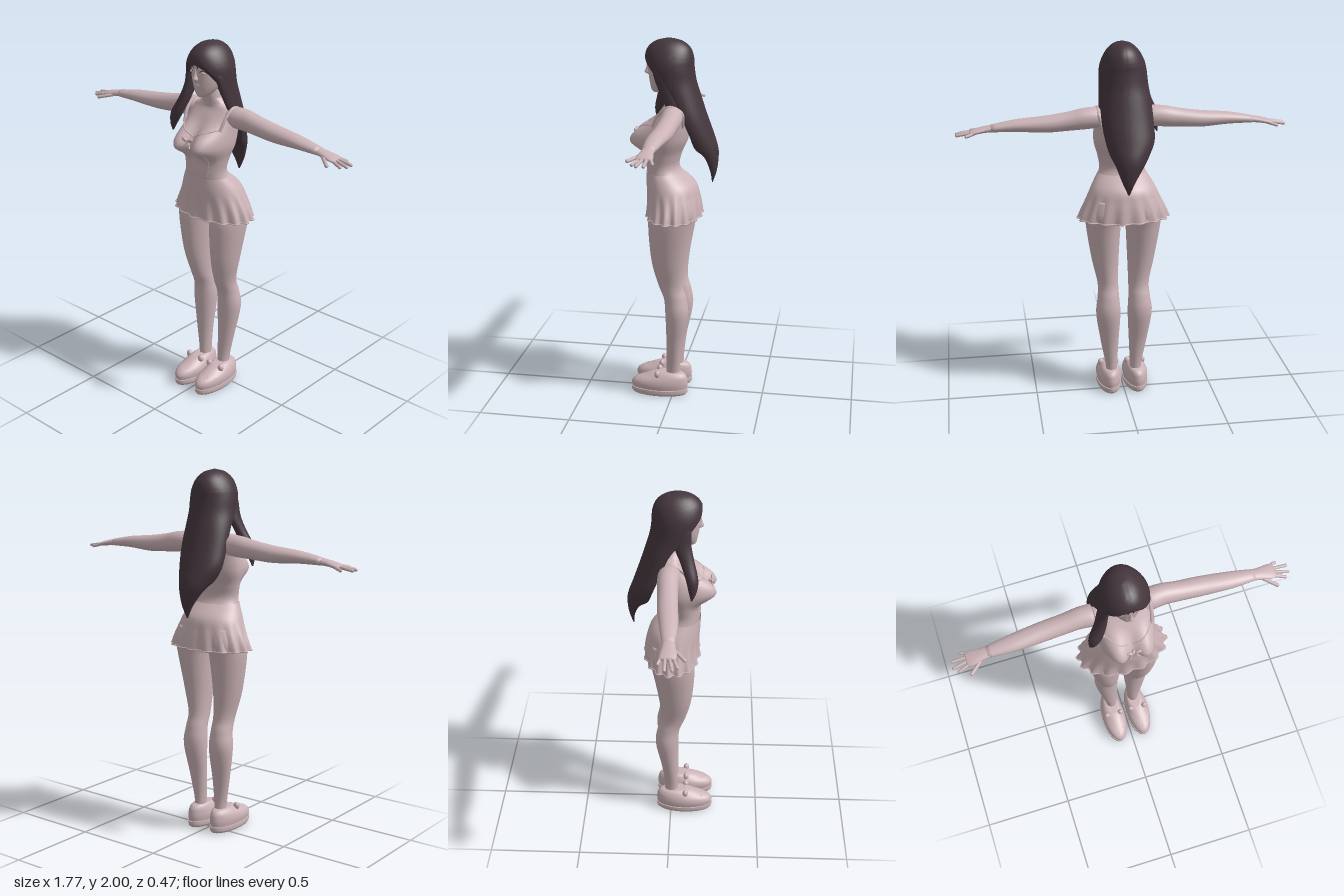
import * as THREE from 'three';
import { toCreasedNormals } from 'three/addons/utils/BufferGeometryUtils.js';

const bodyMat = new THREE.MeshStandardMaterial({ color: 0xcbb3b6, side: THREE.DoubleSide });
bodyMat.name = 'pale rose';
const hairMat = new THREE.MeshStandardMaterial({ color: 0x44363d, side: THREE.DoubleSide });
hairMat.name = 'dark plum';

// Smooth sample (Catmull-Rom) of a table of cross-sections, t in 0..1
function sample(rows, t) {
  const f = t * (rows.length - 1), i = Math.min(Math.floor(f), rows.length - 2), u = f - i;
  const at = k => rows[Math.max(0, Math.min(rows.length - 1, k))];
  return rows[0].map((_, c) => {
    const [a, b, d, e] = [at(i - 1)[c], at(i)[c], at(i + 1)[c], at(i + 2)[c]];
    return b + 0.5 * u * (d - a + u * (2 * a - 5 * b + 4 * d - e + u * (3 * (b - d) + e - a)));
  });
}

// Skin a closed ring along the sections; point(row, v) gives [x, y, z] for v in 0..1
function loft(rows, point, { steps = 4, sides = 32, caps = true, span = 0 } = {}) {
  const n = (rows.length - 1) * steps, pos = [], idx = [];
  for (let i = 0; i <= n; i++) {
    const r = sample(rows, i / n);
    for (let j = 0; j < sides; j++) pos.push(...point(r, j / (sides - span)));
  }
  const id = (i, j) => i * sides + (j % sides);
  for (let i = 0; i < n; i++) for (let j = 0; j < sides; j++) {
    idx.push(id(i, j), id(i + 1, j), id(i, j + 1), id(i, j + 1), id(i + 1, j), id(i + 1, j + 1));
  }
  if (caps) for (const row of [0, n]) {
    const c = [0, 0, 0], k = pos.length / 3;
    for (let j = 0; j < sides; j++) for (let d = 0; d < 3; d++) c[d] += pos[id(row, j) * 3 + d] / sides;
    pos.push(...c);
    for (let j = 0; j < sides; j++) {
      if (row) idx.push(k, id(row, j + 1), id(row, j)); else idx.push(k, id(row, j), id(row, j + 1));
    }
  }
  const g = new THREE.BufferGeometry();
  g.setAttribute('position', new THREE.Float32BufferAttribute(pos, 3));
  g.setIndex(idx);
  g.computeVertexNormals();
  return g;
}

// Ring rules: upright sections [y, cx, cz, rx, rz] and arm sections [x, cy, cz, ry, rz]
const TAU = Math.PI * 2;
const upright = ([y, cx, cz, rx, rz], v) => [cx + rx * Math.cos(v * TAU), y, cz + rz * Math.sin(v * TAU)];
const sideways = ([x, cy, cz, ry, rz], v) => [x, cy + ry * Math.sin(v * TAU), cz + rz * Math.cos(v * TAU)];

function mirrored(g) {
  const m = g.clone().scale(-1, 1, 1), ix = m.index.array;
  for (let i = 0; i < ix.length; i += 3) [ix[i], ix[i + 1]] = [ix[i + 1], ix[i]];
  m.computeVertexNormals();
  return m;
}
const ball = (x, y, z, rx, ry, rz) => new THREE.SphereGeometry(1, 20, 14).scale(rx, ry, rz).translate(x, y, z);
const tube = (pts, r, closed = false) => new THREE.TubeGeometry(
  new THREE.CatmullRomCurve3(pts.map(p => new THREE.Vector3(...p)), closed), pts.length * 6, r, 6, closed);
function capsule(a, b, r) {
  const A = new THREE.Vector3(...a), B = new THREE.Vector3(...b), d = B.clone().sub(A);
  const q = new THREE.Quaternion().setFromUnitVectors(new THREE.Vector3(0, 1, 0), d.clone().normalize());
  return new THREE.CapsuleGeometry(r, d.length(), 4, 10).applyQuaternion(q).translate(...A.add(B).multiplyScalar(0.5).toArray());
}

// Torso sections and the bust swelling on the front
const torso = [
  [1.02, 0, 0.015, 0.06, 0.06], [1.05, 0, 0.01, 0.14, 0.10], [1.12, 0, 0, 0.185, 0.12],
  [1.20, 0, 0.015, 0.17, 0.12], [1.30, 0, 0.065, 0.125, 0.09], [1.38, 0, 0.062, 0.133, 0.094],
  [1.46, 0, 0.042, 0.155, 0.108], [1.54, 0, 0.02, 0.158, 0.10], [1.60, 0, 0.005, 0.155, 0.085],
  [1.645, 0, 0, 0.13, 0.06], [1.67, 0, 0.005, 0.08, 0.05], [1.70, 0, 0.015, 0.05, 0.045]];
const bust = (x, y) => [-1, 1].reduce((sum, s) => {
  const d = ((x - s * 0.077) / 0.066) ** 2 + ((y - 1.472) / (y > 1.472 ? 0.088 : 0.06)) ** 2;
  return sum + 0.1 * Math.exp(-(d ** 1.25));
}, 0);
function torsoPoint(row, v) {
  const p = upright(row, v), front = Math.max(0, Math.sin(v * TAU));
  p[2] += bust(p[0], p[1]) * Math.min(1, front * 1.7);
  return p;
}
// Point on the torso front at a given x and y
function onFront(x, y) {
  const i = torso.findIndex(r => r[0] > y), a = torso[i - 1], b = torso[i], u = (y - a[0]) / (b[0] - a[0]);
  const r = a.map((q, c) => q + (b[c] - q) * u);
  r[0] = y;
  return torsoPoint(r, Math.acos(Math.max(-1, Math.min(1, x / r[3]))) / TAU);
}

// Skirt: flared, with ripples that grow toward the hem
const skirt = [[1.045, 0, 0.005, 0.243, 0.147], [1.09, 0, 0.005, 0.228, 0.144], [1.15, 0, 0.01, 0.203, 0.14],
  [1.22, 0, 0.024, 0.172, 0.132], [1.285, 0, 0.062, 0.131, 0.096]];
function skirtPoint([y, cx, cz, rx, rz], v) {
  const k = 1 + 0.05 * Math.max(0, (1.2 - y) / 0.155) * Math.sin(v * TAU * 16);
  return upright([y, cx, cz, rx * k, rz * k], v);
}

// Hair sections [y, cx, cz, rx, rz, half-angle of the face opening]
const hair = [
  [1.23, 0, -0.2, 0.004, 0.003, 1.5], [1.30, 0, -0.195, 0.035, 0.03, 1.5], [1.38, -0.01, -0.17, 0.075, 0.062, 1.5],
  [1.43, -0.015, -0.125, 0.105, 0.1, 1.5], [1.50, -0.02, -0.10, 0.13, 0.10, 1.5], [1.60, -0.012, -0.06, 0.138, 0.105, 1.5],
  [1.70, -0.008, -0.018, 0.135, 0.115, 1.5], [1.78, -0.003, 0.02, 0.13, 0.13, 1.3], [1.85, 0, 0.032, 0.126, 0.132, 0.85],
  [1.90, 0, 0.034, 0.114, 0.131, 0.42], [1.95, 0, 0.034, 0.087, 0.113, 0.1], [1.985, 0, 0.034, 0.05, 0.07, 0.02],
  [2.0, 0, 0.034, 0.006, 0.008, 0.02]];
function hairPoint([y, cx, cz, rx, rz, open], v) {
  const a = Math.PI / 2 + open + v * (TAU - 2 * open);
  return [cx + rx * Math.cos(a), y, cz + rz * Math.sin(a)];
}

export function createModel() {
  const model = new THREE.Group();
  const add = (name, g, mat = bodyMat) => {
    const m = new THREE.Mesh(g, mat);
    m.name = name;
    model.add(m);
  };
  const pair = (name, g, mat) => { add(name + 'Left', g, mat); add(name + 'Right', mirrored(g), mat); };

  // Torso, neck and head
  add('torso', loft(torso, torsoPoint, { steps: 6, sides: 72 }));
  add('neck', loft([[1.62, 0, 0.005, 0.07, 0.05], [1.67, 0, 0.015, 0.05, 0.046], [1.72, 0, 0.028, 0.045, 0.046],
    [1.78, 0, 0.035, 0.045, 0.046]], upright));
  add('head', loft([[1.713, 0, 0.095, 0.012, 0.02], [1.725, 0, 0.085, 0.034, 0.043], [1.76, 0, 0.065, 0.06, 0.071],
    [1.80, 0, 0.05, 0.075, 0.092], [1.85, 0, 0.04, 0.083, 0.108], [1.90, 0, 0.035, 0.083, 0.113],
    [1.95, 0, 0.032, 0.066, 0.088], [1.975, 0, 0.032, 0.035, 0.05]], upright));

  // Face
  add('nose', loft([[1.808, 0, 0.14, 0.009, 0.01], [1.818, 0, 0.147, 0.014, 0.019], [1.84, 0, 0.144, 0.008, 0.014],
    [1.87, 0, 0.142, 0.006, 0.009]], upright, { sides: 12 }));
  add('upperLip', ball(0, 0.002 + 1.784, 0.134, 0.02, 0.005, 0.009));
  add('lowerLip', ball(0, 1.776, 0.131, 0.016, 0.006, 0.009));
  pair('eye', ball(0.035, 1.852, 0.133, 0.017, 0.009, 0.008));
  pair('eyelash', tube([[0.014, 1.853, 0.144], [0.036, 1.864, 0.139], [0.058, 1.857, 0.122]], 0.002), hairMat);
  pair('eyebrow', tube([[0.014, 1.882, 0.147], [0.036, 1.89, 0.14], [0.06, 1.883, 0.122]], 0.002), hairMat);

  // Dress: skirt, hem, straps, neckline, seams and bow
  add('skirt', loft(skirt, skirtPoint, { steps: 5, sides: 128, caps: false }));
  const hem = Array.from({ length: 96 }, (_, j) => skirtPoint(skirt[0], j / 96));
  add('skirtHem', tube(hem, 0.004, true));
  pair('shoulderStrap', tube([onFront(0.125, 1.55), [0.135, 1.62, 0.065], [0.14, 1.66, 0.01], [0.138, 1.63, -0.055],
    [0.12, 1.55, -0.06]], 0.009));
  const neckline = [[-0.125, 1.56], [-0.09, 1.55], [-0.05, 1.535], [-0.02, 1.52], [0, 1.51]];
  add('neckline', tube([...neckline, ...neckline.slice(0, -1).reverse().map(([x, y]) => [-x, y])]
    .map(([x, y]) => onFront(x, y)), 0.004));
  pair('bodiceSeam', tube([1.43, 1.39, 1.35, 1.3].map((y, i) => onFront(0.09 - i * 0.006, y)), 0.002));
  const bow = onFront(0, 1.5);
  bow[2] = 0.205;
  add('bowKnot', ball(...bow, 0.009, 0.009, 0.012));
  pair('bowLoop', ball(0, 0, 0, 0.018, 0.01, 0.008).rotateZ(0.4).translate(0.021, bow[1] + 0.007, 0.214));
  pair('bowTail', capsule([0.004, 1.495, 0.208], [0.024, 1.468, 0.226], 0.004));

  // Arms, hands and spread fingers
  pair('arm', loft([[0.09, 1.605, -0.003, 0.045, 0.05], [0.15, 1.607, -0.005, 0.056, 0.058], [0.22, 1.603, -0.01, 0.056, 0.055],
    [0.30, 1.592, -0.007, 0.05, 0.052], [0.42, 1.58, -0.003, 0.044, 0.052], [0.57, 1.576, 0.008, 0.032, 0.046],
    [0.70, 1.564, 0.012, 0.02, 0.031]], sideways));
  pair('palm', loft([[0.68, 1.566, 0.012, 0.02, 0.031], [0.73, 1.56, 0.014, 0.017, 0.034], [0.78, 1.551, 0.014, 0.014, 0.042],
    [0.81, 1.546, 0.012, 0.009, 0.038]], sideways, { sides: 20 }));
  [[0.785, -0.017, 0.83, -0.032], [0.80, 0, 0.878, 0], [0.80, 0.02, 0.878, 0.036], [0.79, 0.036, 0.855, 0.06]]
    .forEach(([x, z, tx, tz], i) => pair('finger' + (i + 1), capsule([x, 1.547, z], [tx, 1.535, tz], 0.0085)));
  pair('thumb', capsule([0.735, 1.553, 0.038], [0.80, 1.538, 0.092], 0.0095));

  // Legs
  pair('leg', loft([[0.05, 0.07, 0, 0.033, 0.038], [0.15, 0.07, 0.002, 0.033, 0.038], [0.30, 0.08, -0.007, 0.05, 0.044],
    [0.48, 0.089, -0.022, 0.068, 0.063], [0.58, 0.087, -0.012, 0.06, 0.062], [0.66, 0.087, 0.013, 0.058, 0.068],
    [0.80, 0.10, 0.025, 0.075, 0.09], [1.0, 0.11, 0.015, 0.096, 0.115], [1.08, 0.105, 0, 0.1, 0.12],
    [1.16, 0.095, 0, 0.085, 0.105]], upright, { steps: 5, sides: 36 }));

  // Slippers with ears and buttons
  const sole = [[0, 0.077, 0.078, 0.064, 0.152], [0.012, 0.077, 0.078, 0.07, 0.16], [0.035, 0.077, 0.078, 0.07, 0.161]];
  pair('slipperSole', loft(sole, upright, { sides: 40 }));
  pair('slipperUpper', loft([[0.03, 0.077, 0.078, 0.066, 0.156], [0.06, 0.077, 0.078, 0.07, 0.16], [0.085, 0.077, 0.068, 0.066, 0.148],
    [0.105, 0.076, 0.045, 0.057, 0.12], [0.122, 0.074, 0.03, 0.046, 0.09], [0.13, 0.072, 0.025, 0.034, 0.06]], upright, { sides: 40 }));
  for (const [i, x] of [0.034, 0.12].entries()) pair('slipperEar' + (i + 1), ball(x, 0.125, 0.085, 0.018, 0.021, 0.016));
  for (const [i, x] of [0.05, 0.104].entries()) pair('slipperButton' + (i + 1), ball(x, 0.088, 0.175, 0.009, 0.009, 0.009));
  pair('slipperNose', ball(0.077, 0.083, 0.2, 0.013, 0.01, 0.012));

  // Hair: main fall, front lock and fringe strands
  add('hair', toCreasedNormals(loft(hair, hairPoint, { steps: 5, sides: 48, span: 1 }), 1), hairMat);
  add('frontLock', loft([[1.49, -0.2, 0.11, 0.003, 0.004], [1.54, -0.187, 0.115, 0.02, 0.022], [1.60, -0.168, 0.11, 0.034, 0.032],
    [1.68, -0.135, 0.085, 0.03, 0.037], [1.76, -0.113, 0.06, 0.024, 0.045], [1.84, -0.1, 0.06, 0.02, 0.045],
    [1.89, -0.08, 0.06, 0.015, 0.04]], upright, { sides: 20 }), hairMat);
  add('sideLock', loft([[1.60, 0.128, -0.01, 0.004, 0.015], [1.66, 0.116, 0, 0.016, 0.035], [1.76, 0.107, 0.035, 0.02, 0.045],
    [1.84, 0.1, 0.06, 0.02, 0.045], [1.89, 0.08, 0.06, 0.015, 0.04]], upright, { sides: 20 }), hairMat);
  for (const [i, x] of [0.012, 0.03, 0.048].entries()) {
    pair('fringeStrand' + (i + 1), tube([[x * 0.6, 1.935, 0.145], [x, 1.905, 0.154 - x * 0.2], [x * 1.2, 1.875, 0.152 - x * 0.35]], 0.003), hairMat);
  }
  return model;
}
